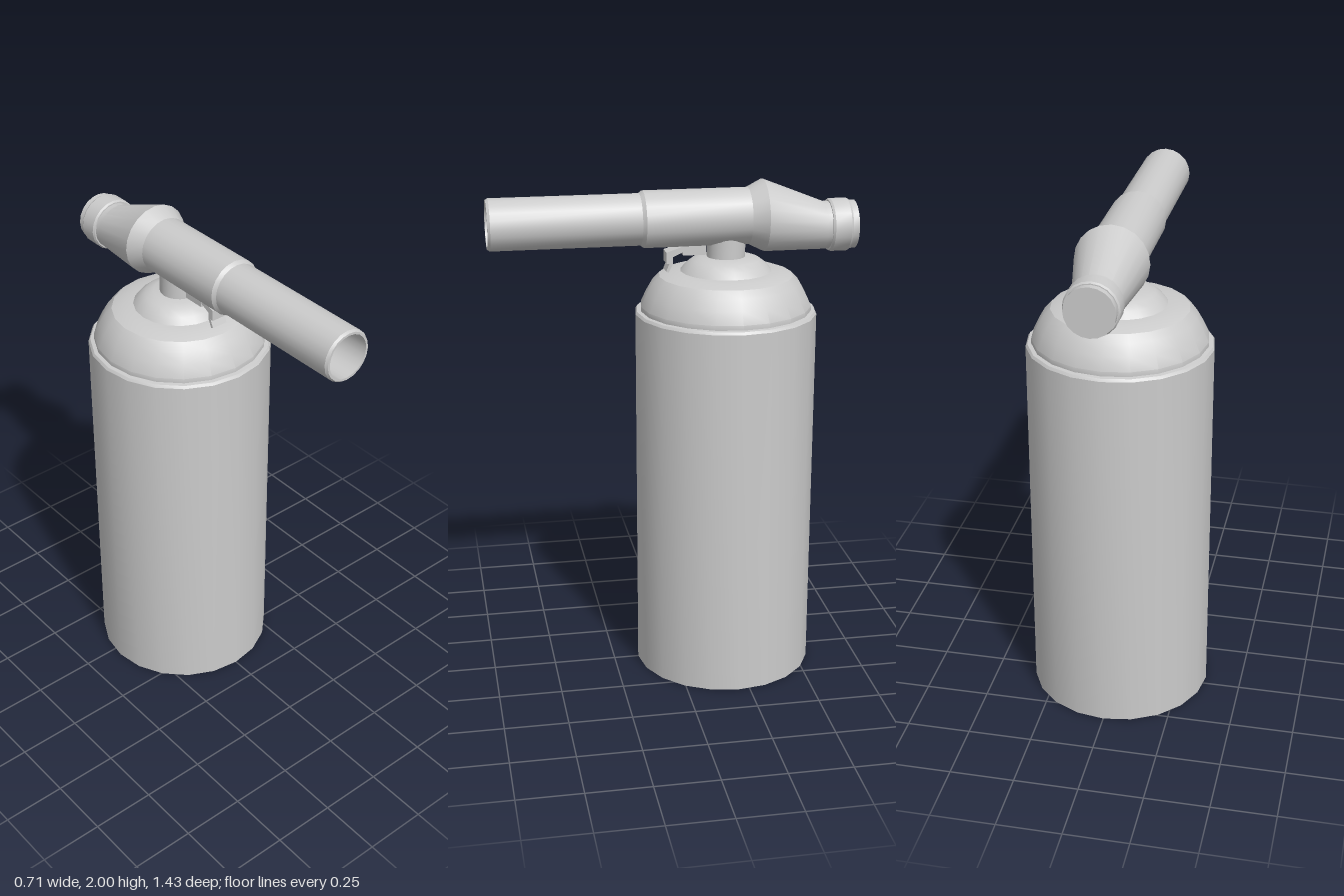
import * as THREE from 'three';
import { toCreasedNormals } from 'three/addons/utils/BufferGeometryUtils.js';

const SIDES = 20;
const TANK_Z = -0.207;
const material = new THREE.MeshStandardMaterial({ color: 0xcccccc });

function part(name, geometry, crease = 0.45) {
  const mesh = new THREE.Mesh(toCreasedNormals(geometry, crease), material);
  mesh.name = name;
  return mesh;
}

// Turned solid around the y axis from [radius, height] pairs.
function turned(points) {
  return new THREE.LatheGeometry(points.map(([r, y]) => new THREE.Vector2(r, y)), SIDES);
}

// Turned solid around the barrel axis from [radius, z] pairs, back to front.
// Behind the flare the axis slopes down to the rear cap.
function barrelPart(name, points) {
  const geometry = turned(points).rotateX(Math.PI / 2);
  const pos = geometry.attributes.position;
  for (let i = 0; i < pos.count; i++) {
    const drop = THREE.MathUtils.clamp((-0.35 - pos.getZ(i)) / 0.24, 0, 1) * 0.048;
    pos.setY(i, pos.getY(i) + 1.86 - drop);
  }
  return part(name, geometry);
}

export function createModel() {
  const model = new THREE.Group();
  model.name = 'gasTorch';

  // Gas canister with a stepped shoulder and a small dome
  const tank = part('tank', turned([
    [0, 0], [0.357, 0], [0.357, 1.485], [0.35, 1.495], [0.335, 1.497],
    [0.335, 1.515], [0.312, 1.563], [0.288, 1.605], [0.262, 1.632], [0.22, 1.646],
    [0.178, 1.65], [0.158, 1.674], [0.132, 1.694], [0.1, 1.704], [0, 1.707],
  ]));
  tank.position.z = TANK_Z;
  model.add(tank);

  // Valve stem joining the canister to the barrel
  const stem = part('valveStem', new THREE.CylinderGeometry(0.075, 0.075, 0.12, SIDES));
  stem.position.set(0, 1.75, TANK_Z);
  model.add(stem);

  // Barrel: flared rear body, hollow nozzle and rear cap
  model.add(barrelPart('body', [
    [0, -0.62], [0.093, -0.62], [0.093, -0.59], [0.14, -0.35],
    [0.11, -0.29], [0.11, 0.118], [0.1, 0.132], [0, 0.132],
  ]));
  model.add(barrelPart('nozzle', [
    [0.1, 0.1], [0.1, 0.705], [0.094, 0.715], [0.085, 0.715], [0.085, 0.4], [0, 0.4],
  ]));
  model.add(barrelPart('rearCap', [
    [0, -0.715], [0.094, -0.715], [0.094, -0.69], [0.098, -0.69], [0.103, -0.682],
    [0.103, -0.618], [0.098, -0.61], [0, -0.61],
  ]));

  // Trigger housing below the barrel
  const housing = part('triggerHousing', new THREE.BoxGeometry(0.07, 0.06, 0.09));
  housing.position.set(0, 1.75, -0.077);
  model.add(housing);

  // Bent trigger, drawn in side profile as [z, y]
  const profile = [
    [-0.04, 1.758], [0.033, 1.733], [0.033, 1.69], [0.021, 1.69], [0.034, 1.659],
    [0.024, 1.655], [0.007, 1.69], [0.007, 1.715], [-0.04, 1.737],
  ].map(([z, y]) => new THREE.Vector2(z, y));
  const trigger = new THREE.ExtrudeGeometry(new THREE.Shape(profile), { depth: 0.066, bevelEnabled: false });
  model.add(part('trigger', trigger.translate(0, 0, -0.033).rotateY(-Math.PI / 2)));

  return model;
}
